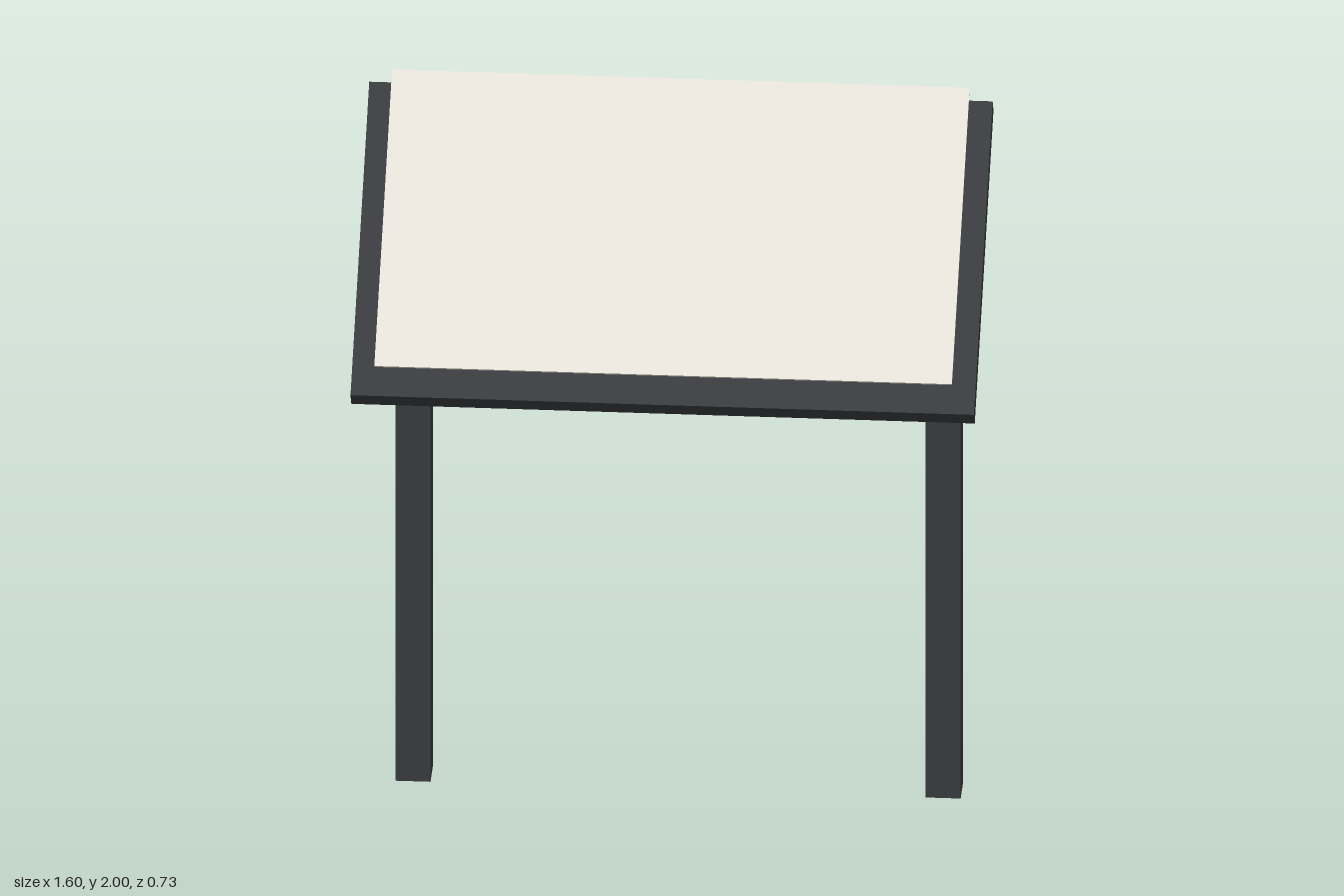
import * as THREE from 'three';

const TILT = THREE.MathUtils.degToRad(38);

function addBox(parent, name, size, position, material) {
  const mesh = new THREE.Mesh(new THREE.BoxGeometry(...size), material);
  mesh.name = name;
  mesh.position.set(...position);
  parent.add(mesh);
  return mesh;
}

export function createModel() {
  const group = new THREE.Group();
  group.name = 'informationBoard';
  const darkMetal = new THREE.MeshStandardMaterial({ color: 0x3a3b3f });
  const cream = new THREE.MeshStandardMaterial({ color: 0xe6e2d8 });

  // Two square posts towards the back
  const postHeight = 1.705;
  for (const [side, name] of [[1, 'leftPost'], [-1, 'rightPost']]) {
    addBox(group, name, [0.09, postHeight, 0.09], [side * 0.682, postHeight / 2, -0.272], darkMetal);
  }

  // Sloping backing board, with the thin display sheet floating above it
  const board = addBox(group, 'backingBoard', [1.604, 0.053, 0.887], [0, 1.667, 0], darkMetal);
  const sheet = addBox(group, 'displaySheet', [1.486, 0.006, 0.839], [0, 1.74, 0], cream);
  board.rotation.x = sheet.rotation.x = TILT;

  return group;
}
